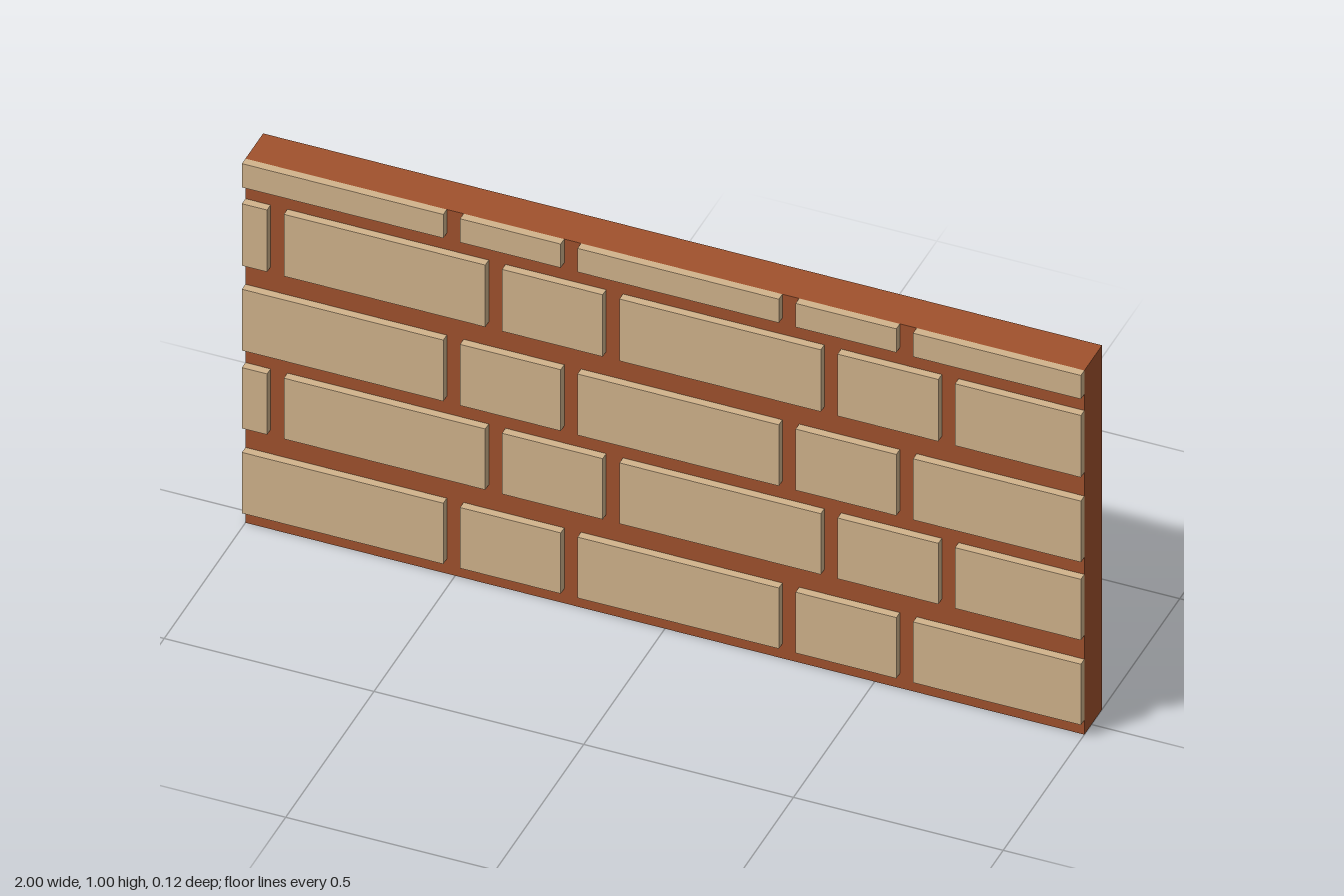
import * as THREE from 'three';

const sienna = new THREE.MeshStandardMaterial({ name: 'mortarBrown', color: 0xa0522d });
const tan = new THREE.MeshStandardMaterial({ name: 'brickTan', color: 0xd2b48c });

// Box spanning the given limits on each axis
function block(name, [x0, x1], [y0, y1], [z0, z1], material) {
  const mesh = new THREE.Mesh(new THREE.BoxGeometry(x1 - x0, y1 - y0, z1 - z0), material);
  mesh.position.set((x0 + x1) / 2, (y0 + y1) / 2, (z0 + z1) / 2);
  mesh.name = name;
  return mesh;
}

export function createModel() {
  const model = new THREE.Group();
  model.name = 'brickWall';

  // Solid slab behind the bricks
  model.add(block('wallSlab', [-1, 1], [0, 1], [-0.06, 0.04], sienna));

  // Courses of alternating long and short bricks; every other course is shifted
  const courses = [[0.04, 0.207], [0.273, 0.44], [0.487, 0.655], [0.72, 0.89], [0.935, 1]];
  const gap = 0.04;
  courses.forEach((ySpan, row) => {
    const course = new THREE.Group();
    course.name = `brickCourse${row + 1}`;
    let x = row % 2 ? -1.18 : -1;
    let long = row % 2 === 0;
    while (x < 1) {
      const end = x + (long ? 0.48 : 0.24);
      // Bricks are cut flush with the ends of the wall
      const xSpan = [Math.max(x, -1), Math.min(end, 1)];
      course.add(block('brick', xSpan, ySpan, [0.04, 0.06], tan));
      x = end + gap;
      long = !long;
    }
    model.add(course);
  });

  return model;
}
